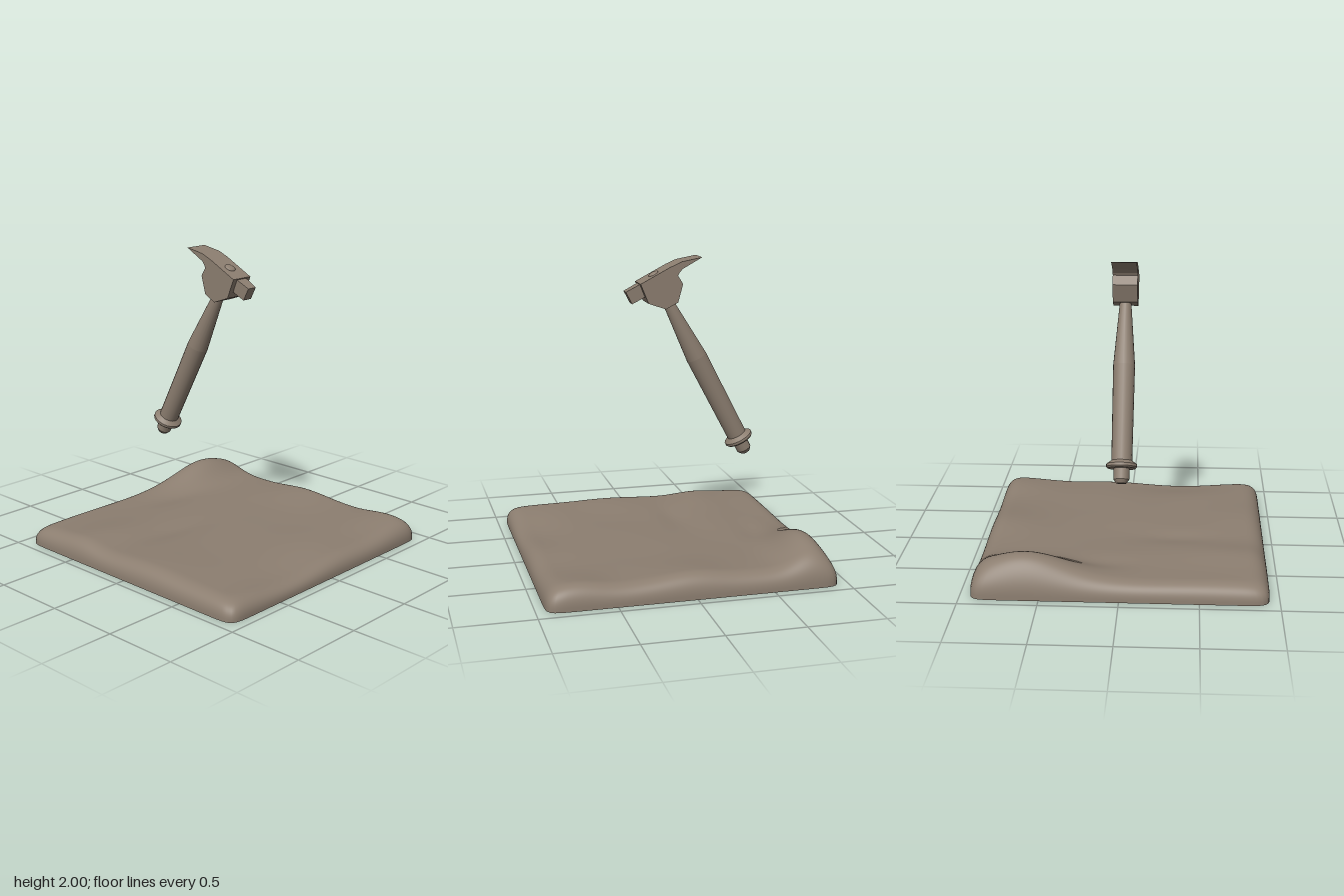
import * as THREE from 'three';

const clay = new THREE.MeshStandardMaterial({ color: 0x8c7e70 });
clay.name = 'warm grey clay';

function add(parent, name, geometry) {
  const mesh = new THREE.Mesh(geometry, clay);
  mesh.name = name;
  parent.add(mesh);
  return mesh;
}

// Rounded square outline of the ground, half size 0.94
const HALF = 0.94, SEGMENTS = 288, RINGS = 56;
function outline(i) {
  const a = (i / SEGMENTS) * Math.PI * 2, c = Math.cos(a), s = Math.sin(a);
  const r = HALF / Math.pow(Math.abs(c) ** 26 + Math.abs(s) ** 26, 1 / 26);
  return [c * r, s * r];
}

// Hills and hollows: x, z, height, width in x, width in z
const hills = [
  [0.6, -0.78, 0.135, 0.34, 0.17],
  [0.85, -0.02, 0.035, 0.3, 0.24],
  [0.9, 0.72, 0.03, 0.28, 0.2],
  [-0.7, -0.45, 0.02, 0.3, 0.16],
  [-0.75, 0.3, 0.012, 0.25, 0.25],
  [-0.35, 0.85, -0.035, 0.4, 0.2],
  [0.4, 0.85, -0.012, 0.25, 0.2],
  [-0.35, -0.18, -0.015, 0.25, 0.1],
  [0.15, -0.62, -0.015, 0.25, 0.1],
  [0.1, 0.5, 0.008, 0.3, 0.2],
];
function terrain(x, z) {
  let h = 0.123 + 0.004 * Math.sin(9 * z + 3 * x) * Math.cos(4 * x - z);
  for (const [cx, cz, amp, wx, wz] of hills) {
    h += amp * Math.exp(-(((x - cx) / wx) ** 2) - ((z - cz) / wz) ** 2);
  }
  return h;
}

// Concentric rings, closer together towards the rounded rim
function groundGeometry() {
  const pos = [], index = [];
  for (let k = 0; k <= RINGS; k++) {
    const t = k / RINGS, s = 1 - (1 - t) ** 1.8;
    for (let i = 0; i < SEGMENTS; i++) {
      const [ox, oz] = outline(i), x = ox * s, z = oz * s;
      const q = Math.max(0, 1 - (HALF * (1 - s)) / 0.13);
      pos.push(x, terrain(x, z) * Math.pow(Math.max(0, 1 - q ** 2.5), 0.4), z);
      if (k < RINGS) {
        const j = (i + 1) % SEGMENTS;
        const a = k * SEGMENTS + i, b = k * SEGMENTS + j;
        index.push(a, b, b + SEGMENTS, a, b + SEGMENTS, a + SEGMENTS);
      }
    }
  }
  const g = new THREE.BufferGeometry();
  g.setAttribute('position', new THREE.Float32BufferAttribute(pos, 3));
  g.setIndex(index);
  g.computeVertexNormals();
  return g;
}

// Turned part from radius/height pairs, each band with crisp ends
function turned(parent, name, profile, sides) {
  const group = new THREE.Group();
  group.name = name;
  for (let i = 0; i < profile.length - 1; i++) {
    const [r0, y0] = profile[i], [r1, y1] = profile[i + 1];
    const band = add(group, name + 'Band', new THREE.CylinderGeometry(r1, r0, y1 - y0, sides));
    band.position.y = (y0 + y1) / 2;
  }
  parent.add(group);
}

// Side outline given as z/y pairs, extruded across x
function slab(points, width) {
  const shape = new THREE.Shape(points.map(([z, y]) => new THREE.Vector2(-z, y)));
  const g = new THREE.ExtrudeGeometry(shape, { depth: width, bevelEnabled: false });
  g.translate(0, 0, -width / 2);
  g.rotateY(Math.PI / 2);
  return g;
}

export function createModel() {
  const model = new THREE.Group();
  model.name = 'hammerOverGround';

  // Ground block
  const ground = new THREE.Group();
  ground.name = 'ground';
  model.add(ground);
  add(ground, 'groundSurface', groundGeometry());
  const rim = Array.from({ length: SEGMENTS }, (_, i) => new THREE.Vector2(...outline(i)));
  add(ground, 'groundUnderside', new THREE.ShapeGeometry(new THREE.Shape(rim)).rotateX(Math.PI / 2));

  // Hammer, built upright along y and then tilted forward
  const hammer = new THREE.Group();
  hammer.name = 'hammer';
  hammer.position.set(0, 0.66, -0.6);
  hammer.rotation.x = 0.483;
  model.add(hammer);

  turned(hammer, 'pommel', [[0.032, 0], [0.05, 0.025], [0.05, 0.11]], 12);
  turned(hammer, 'collar', [[0.088, 0.095], [0.098, 0.105], [0.098, 0.122], [0.066, 0.145]], 24);
  turned(hammer, 'handle', [[0.066, 0.14], [0.07, 0.76], [0.035, 1.2]], 20);

  // Head with chamfered underside
  add(hammer, 'head', slab([
    [0.117, 1.393], [-0.12, 1.393], [-0.13, 1.255],
    [-0.046, 1.165], [0.046, 1.165], [0.13, 1.255],
  ], 0.16));

  // Wedge claw sweeping back to a thin edge
  add(hammer, 'claw', slab([
    [-0.1, 1.393], [-0.19, 1.387], [-0.322, 1.346],
    [-0.17, 1.343], [-0.14, 1.33], [-0.1, 1.3],
  ], 0.16));

  // Striking face, tapered towards the front
  const face = new THREE.BoxGeometry(0.09, 0.09, 0.12);
  const p = face.attributes.position;
  for (let i = 0; i < p.count; i++) {
    if (p.getZ(i) > 0) p.setX(i, p.getX(i) * 0.78);
  }
  face.computeVertexNormals();
  add(hammer, 'strikingFace', face).position.set(0, 1.341, 0.16);

  // Rounded end of the handle showing through the head
  const cap = add(hammer, 'handleCap', new THREE.SphereGeometry(0.036, 20, 12));
  cap.position.y = 1.393;
  cap.scale.y = 0.35;

  // Winding check for the ground surface: rings run so that faces point outwards
  const surface = ground.children[0].geometry;
  if (surface.attributes.normal.getY(20 * SEGMENTS) < 0) {
    surface.index.array.reverse();
    surface.computeVertexNormals();
  }
  return model;
}
